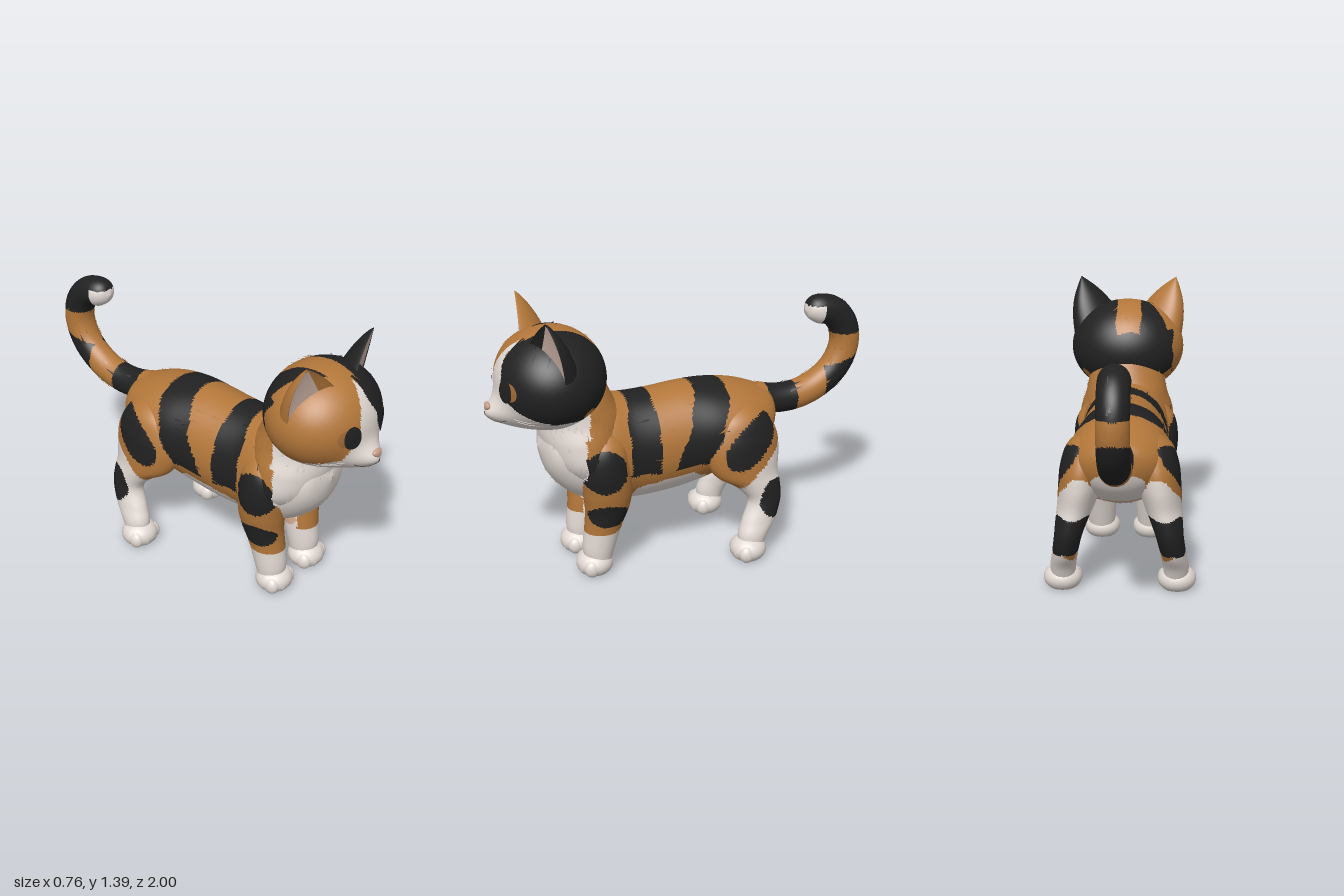
import * as THREE from 'three';

const mat = (name, color) => Object.assign(new THREE.MeshStandardMaterial({ color }), { name });
const orange = mat('orange fur', 0xb3773a), black = mat('black fur', 0x212121), white = mat('white fur', 0xe2d9d3);
const pink = mat('ear pink', 0xd0b5a8), pale = mat('pale patch', 0xd6ab90), nosePink = mat('nose pink', 0xc99f8b);
const amber = mat('amber iris', 0xa26a36), line = mat('mouth line', 0x64514a), sole = mat('paw sole', 0x9b8e86);
const palette = [orange, black, white, pink, pale];
const ORANGE = 0, BLACK = 1, WHITE = 2, PINK = 3, PALE = 4;
const V = (x, y, z) => new THREE.Vector3(x, y, z);
const TAU = Math.PI * 2;
const named = (name, o) => Object.assign(o, { name });

// Mesh with one geometry group per palette colour; groups[m] lists the corner triples of colour m
function painted(name, pos, groups) {
  const geo = new THREE.BufferGeometry(), index = [];
  groups.forEach((tris, m) => {
    if (tris.length) geo.addGroup(index.length, tris.length * 3, m);
    tris.forEach(t => index.push(...t));
  });
  geo.setAttribute('position', new THREE.Float32BufferAttribute(pos, 3));
  geo.setIndex(index);
  geo.computeVertexNormals();
  return named(name, new THREE.Mesh(geo, palette));
}

// Surface closed around u, open along v; paint(point, u, v) picks a palette entry for each triangle
function skin(name, f, nu, nv, paint) {
  const groups = palette.map(() => []), pts = [];
  for (let j = 0; j <= nv; j++) for (let i = 0; i < nu; i++) pts.push(f(i / nu, j / nv));
  const mid = new THREE.Box3().setFromPoints(pts).getCenter(V(0, 0, 0));
  let volume = 0;
  const add = (a, b, c, u, v) => {
    const [A, B, C] = [a, b, c].map(k => pts[k].clone().sub(mid));
    volume += A.dot(B.clone().cross(C));
    groups[paint(A.add(B).add(C).divideScalar(3).add(mid), u, v)].push([a, b, c]);
  };
  for (let j = 0; j < nv; j++) for (let i = 0; i < nu; i++) {
    const a = j * nu + i, b = j * nu + (i + 1) % nu, u = (i + 0.5) / nu, v = (j + 0.5) / nv;
    add(a, b, a + nu, u, v);
    add(b, b + nu, a + nu, u, v);
  }
  if (volume < 0) groups.forEach(tris => tris.forEach(t => t.reverse()));
  return painted(name, pts.flatMap(p => [p.x, p.y, p.z]), groups);
}

// Small raised fur tufts scattered over a surface, in the colour beneath them
let seed = 7;
const rnd = () => (seed = (seed * 16807) % 2147483647) / 2147483647;
function tufts(name, f, count, length, v0, v1, paint) {
  const pos = [], groups = palette.map(() => []);
  for (let k = 0; k < count; k++) {
    const u = rnd(), v = v0 + (v1 - v0) * rnd(), p = f(u, v);
    const du = f(u + 0.005, v).sub(p).normalize(), dv = f(u, v + 0.005).sub(p).normalize();
    const n = du.clone().cross(dv).normalize(), w = du.clone().multiplyScalar(0.006);
    const end = f(u + (rnd() - 0.5) * 0.02, Math.min(1, v + length * (0.5 + rnd()))).addScaledVector(n, 0.008);
    p.addScaledVector(n, 0.003);
    [p.clone().sub(w), p.clone().add(w), end].forEach(q => pos.push(q.x, q.y, q.z));
    groups[paint(p, u, v)].push([3 * k, 3 * k + 1, 3 * k + 2]);
  }
  return painted(name, pos, groups);
}

// Elliptical sections [x, y, z, half width, other half size], smoothly interpolated
function loft(rows, upright) {
  const at = k => rows[Math.min(Math.max(k, 0), rows.length - 1)];
  return (u, v) => {
    const s = v * (rows.length - 1), k = Math.min(Math.floor(s), rows.length - 2), t = s - k;
    const [x, y, z, a, b] = rows[0].map((_, n) => {
      const [p, q, r, w] = [at(k - 1)[n], at(k)[n], at(k + 1)[n], at(k + 2)[n]];
      return q + 0.5 * t * (r - p + t * (2 * p - 5 * q + 4 * r - w + t * (3 * (q - r) + w - p)));
    });
    const c = Math.cos(u * TAU) * a, d = Math.sin(u * TAU) * b;
    return upright ? V(x + c, y, z - d) : V(x + c, y + d, z);
  };
}
function table(points, s) {
  for (let k = 1; k < points.length; k++) {
    const [a, p] = points[k - 1], [b, q] = points[k];
    if (s <= b) return p + (q - p) * Math.max(0, (s - a) / (b - a));
  }
  return points[points.length - 1][1];
}
const inEllipse = (z, y, cz, cy, rz, ry) => ((z - cz) / rz) ** 2 + ((y - cy) / ry) ** 2 < 1;

// Calico patches of body and legs
const bellyLine = [[-0.5, 0.66], [-0.42, 0.56], [-0.32, 0.49], [-0.22, 0.38], [-0.1, 0.43], [0, 0.49], [0.15, 0.47], [0.3, 0.45], [0.35, 0.25], [0.6, 0.22]];
const bibWidth = [[0.24, 0.03], [0.32, 0.07], [0.4, 0.1], [0.48, 0.165], [0.58, 0.225], [0.95, 0.24]];
function coat(p) {
  const a = Math.abs(p.x), wob = 0.005 * Math.sin(p.y * 45 + p.z * 23);
  const y = p.y + wob, z = p.z + wob;
  if (a > 0.14 && inEllipse(z, y, -0.41, 0.315, 0.095, 0.1)) return BLACK;
  if (a < 0.265 && inEllipse(z, y, -0.37, 0.22, 0.06, 0.045)) return z < -0.38 ? ORANGE : PALE;
  if (a < 0.18 && inEllipse(z, y, -0.25, 0.45, 0.05, 0.04)) return PALE;
  if (a < 0.12 && inEllipse(z, y, 0.45, 0.28, 0.045, 0.035)) return PALE;
  if (y < table(bellyLine, z)) return WHITE;
  if (a < 0.11 && y < 0.47 && z < 0.5) return WHITE;
  if (z < -0.05 && a < 0.13 && y < 0.58) return WHITE;
  if (z > 0.42 && a < table(bibWidth, y) && (z > 0.54 || y < 0.5)) return WHITE;
  if (z > 0.57 && y > 0.55) return WHITE;
  if (a > 0.18 && inEllipse(z, y, p.x > 0 ? 0.485 : 0.465, 0.59, 0.115, 0.11)) return BLACK;
  if (a > 0.125 && inEllipse(z, y, 0.455, 0.335, 0.1, 0.065)) return BLACK;
  if (y > 0.52 && z > 0.18 && z < 0.335 - Math.max(0, y - 0.8) * 0.3) return BLACK;
  if (y > 0.53 && Math.abs(z + 0.01 + 0.42 * (y - 0.6)) < 0.09) return BLACK;
  const dz = z + 0.28, dy = y - 0.625;
  if (a > 0.1 && inEllipse(0.7 * (dy - dz), 0.7 * (dy + dz), 0, 0, 0.165, 0.095)) return BLACK;
  return ORANGE;
}

// Head: ellipsoid with a muzzle bump that fades slowly into the chin
const HY = 1.03, HZ = 0.67;
const muzzle = (x, y) => 0.11 * Math.exp(-((x / 0.1) ** 2) - ((y - 0.875) / (y > 0.875 ? 0.075 : 0.11)) ** 2);
const faceZ = (x, y) => HZ + 0.27 * Math.sqrt(Math.max(0, 1 - (x / 0.3) ** 2 - ((y - HY) / 0.25) ** 2)) + muzzle(x, y);
function headPoint(u, v) {
  const s = Math.sin(v * Math.PI), x = 0.3 * s * Math.cos(u * TAU), y = HY + 0.25 * Math.cos(v * Math.PI);
  const d = 0.27 * s * Math.sin(u * TAU);
  return V(x, y, HZ + d + (d > 0 ? muzzle(x, y) * Math.min(1, d / 0.08) : 0));
}
const blazeRight = [[0.87, 0.23], [0.93, 0.16], [1.0, 0.09], [1.08, 0.06], [1.15, 0.035], [1.24, 0.015]];
const blazeLeft = [[0.87, 0.25], [0.9, 0.14], [1.0, 0.1], [1.08, 0.065], [1.15, 0.04], [1.24, -0.01]];
function headCoat(p) {
  const wob = 0.004 * Math.sin(p.y * 60 + p.x * 35), x = p.x + wob, y = p.y + wob, z = p.z + wob;
  if (z > 0.52 && y < 0.87) return WHITE;
  if (z > 0.74 && y < 1.24 && x < table(blazeRight, y) && x > -table(blazeLeft, y)) return WHITE;
  if (z > 0.51 && z < 0.57 && y < 0.94 - Math.abs(z - 0.54)) return ORANGE;
  if (z < 0.57 && y < 1.14) return x < -0.245 ? ORANGE : BLACK;
  if (x > (z > 0.8 ? 0.02 : 0.055)) return BLACK;
  return z < 0.43 || (x < -0.075 && z < 0.85 + 1.5 * x) ? BLACK : ORANGE;
}

// Thin oval lying on the face
function faceOval(name, cx, cy, rx, ry, lift, material) {
  const geo = new THREE.RingGeometry(0.001, 1, 40, 6), p = geo.attributes.position;
  for (let i = 0; i < p.count; i++) {
    const x = cx + p.getX(i) * rx, y = cy + p.getY(i) * ry;
    p.setXYZ(i, x, y, faceZ(x, y) + lift);
  }
  geo.computeVertexNormals();
  return named(name, new THREE.Mesh(geo, material));
}
const tube = (name, pts, r, material) =>
  named(name, new THREE.Mesh(new THREE.TubeGeometry(new THREE.CatmullRomCurve3(pts), 16, r, 5), material));

// Shallow pointed ear, turned outwards, with a pink front
function ear(side) {
  const inner = V(0.08, 1.23, 0.79), outer = V(0.288, 1.08, 0.68), tip = V(0.257, 1.392, 0.757), back = V(0.02, 0.02, -1);
  const f = (u, v) => {
    const a = inner.clone().lerp(tip, v), b = outer.clone().lerp(tip, v), bulge = Math.sin(v * Math.PI);
    a.add(V(-0.006, 0.01, 0).multiplyScalar(bulge));
    b.add(V(0.026, 0.01, -0.01).multiplyScalar(bulge));
    const front = u > 0.5, w = front ? 2 - 2 * u : 2 * u;
    const p = a.clone().lerp(b, 0.5 - 0.5 * Math.cos(w * Math.PI));
    p.addScaledVector(back, Math.sin(w * Math.PI) * (front ? 0.015 : 0.125) * (1 - v) ** 0.8);
    p.x *= side;
    return p;
  };
  const fur = side > 0 ? BLACK : ORANGE;
  return skin(side > 0 ? 'leftEar' : 'rightEar', f, 48, 24, (p, u, v) => u > 0.56 && u < 0.84 && v < 0.9 ? PINK : fur);
}

// Paw flattened on the ground, with toes and a sole
function paw(name, x, z) {
  const g = named(name, new THREE.Group());
  const blob = (part, px, py, pz, rx, ry, rz) => {
    const geo = new THREE.SphereGeometry(1, 24, 16).scale(rx, ry, rz).translate(px, py, pz), p = geo.attributes.position;
    for (let i = 0; i < p.count; i++) p.setY(i, Math.max(0.001, p.getY(i)));
    geo.computeVertexNormals();
    g.add(named(part, new THREE.Mesh(geo, white)));
  };
  blob('pad', x, 0.05, z, 0.096, 0.07, 0.093);
  [-0.062, -0.022, 0.022, 0.062].forEach(d => blob('toe', x + d, 0.045, z + 0.057 - Math.abs(d) * 0.4, 0.034, 0.046, 0.041));
  const disc = new THREE.CircleGeometry(0.068, 28).rotateX(Math.PI / 2).translate(x, 0, z);
  g.add(named('sole', new THREE.Mesh(disc, sole)));
  return g;
}

export function createModel() {
  const cat = named('cat', new THREE.Group());
  // Torso from rump to chest: [z, top, bottom, half width]
  const torso = loft([[-0.5, 0.735, 0.725, 0.005], [-0.48, 0.79, 0.62, 0.12], [-0.42, 0.825, 0.53, 0.195], [-0.3, 0.865, 0.46, 0.25],
    [-0.15, 0.89, 0.4, 0.258], [0, 0.895, 0.355, 0.242], [0.15, 0.885, 0.335, 0.235], [0.3, 0.885, 0.33, 0.225], [0.42, 0.9, 0.34, 0.235],
    [0.54, 0.88, 0.375, 0.22], [0.64, 0.85, 0.445, 0.185], [0.71, 0.79, 0.54, 0.13], [0.745, 0.69, 0.67, 0.005]]
    .map(([z, top, bot, w]) => [0, (top + bot) / 2, z, w, (top - bot) / 2]), false);
  const neck = loft([[0, 0.48, 0.5, 0.17, 0.1], [0, 0.6, 0.52, 0.25, 0.175], [0, 0.72, 0.535, 0.245, 0.2], [0, 0.82, 0.535, 0.215, 0.21],
    [0, 0.9, 0.56, 0.2, 0.195], [0, 1.0, 0.6, 0.18, 0.19]], true);
  cat.add(skin('torso', torso, 110, 130, coat), skin('neck', neck, 100, 50, coat));
  cat.add(tufts('torsoFur', torso, 130, 0.04, 0.15, 0.95, coat), tufts('chestFur', neck, 120, 0.1, 0.15, 0.75, coat));

  // Legs and paws
  for (const s of [-1, 1]) {
    const sideName = s > 0 ? 'Left' : 'Right';
    const mirror = rows => loft(rows.map(([y, x, z, a, b]) => [x * s, y, z, a, b]), true);
    const front = mirror([[0.02, 0.135, 0.49, 0.06, 0.05], [0.12, 0.135, 0.49, 0.076, 0.08], [0.25, 0.138, 0.465, 0.085, 0.095],
      [0.35, 0.148, 0.445, 0.093, 0.112], [0.45, 0.16, 0.445, 0.104, 0.125], [0.58, 0.17, 0.46, 0.108, 0.125],
      [0.7, 0.155, 0.46, 0.1, 0.11], [0.8, 0.13, 0.45, 0.04, 0.04]]);
    const hind = mirror([[0.02, 0.28, -0.28, 0.055, 0.05], [0.12, 0.28, -0.292, 0.064, 0.078], [0.2, 0.268, -0.33, 0.064, 0.09],
      [0.3, 0.25, -0.365, 0.068, 0.088], [0.38, 0.232, -0.335, 0.08, 0.12], [0.45, 0.213, -0.28, 0.094, 0.17],
      [0.55, 0.195, -0.26, 0.107, 0.2], [0.65, 0.18, -0.26, 0.11, 0.19], [0.75, 0.15, -0.26, 0.1, 0.14], [0.83, 0.11, -0.26, 0.03, 0.04]]);
    cat.add(skin('front' + sideName + 'Leg', front, 56, 72, coat), skin('hind' + sideName + 'Leg', hind, 60, 80, coat));
    cat.add(paw('front' + sideName + 'Paw', 0.133 * s, 0.512), paw('hind' + sideName + 'Paw', 0.285 * s, -0.265));
  }

  // Banded, curled tail
  const path = new THREE.CatmullRomCurve3([[0.76, -0.4], [0.73, -0.52], [0.73, -0.64], [0.77, -0.76], [0.86, -0.87], [0.98, -0.92],
    [1.09, -0.905], [1.165, -0.84], [1.185, -0.76], [1.185, -0.69]].map(([y, z]) => V(0, y, z)));
  const tail = (u, v) => {
    const t = path.getTangentAt(v), n = t.clone().cross(V(1, 0, 0));
    const r = 0.077 * (v > 0.91 ? Math.sqrt(Math.max(0, 1 - ((v - 0.91) / 0.09) ** 2)) : 1);
    return path.getPointAt(v).addScaledVector(V(1, 0, 0), r * Math.cos(u * TAU)).addScaledVector(n, r * Math.sin(u * TAU));
  };
  const tailCoat = (p, u, v) => {
    if (v > 0.92 && p.y < 1.215) return WHITE;
    if (p.y > 1.05 || (p.z > -0.63 && p.z < -0.47 && p.y < 0.95)) return BLACK;
    return p.z < -0.79 && p.y + 0.3 * (p.z + 0.9) < 0.91 ? BLACK : ORANGE;
  };
  cat.add(skin('tail', tail, 44, 110, tailCoat), tufts('tailFur', tail, 70, 0.05, 0.1, 0.85, tailCoat));

  // Head and ears
  const head = named('head', new THREE.Group());
  head.add(skin('skull', headPoint, 140, 100, headCoat), ear(1), ear(-1), tufts('headFur', headPoint, 40, 0.06, 0.1, 0.3, headCoat));

  // Eyes, mouth and whiskers
  const onFace = (x, y) => V(x, y, faceZ(x, y) + 0.001);
  for (const s of [-1, 1]) {
    head.add(faceOval('iris', 0.137 * s, 1.032, 0.046, 0.046, 0.004, amber));
    head.add(faceOval('pupil', 0.114 * s, 1.03, 0.044, 0.058, 0.007, black));
    head.add(tube('mouth', [onFace(0, 0.87), onFace(0.025 * s, 0.855), onFace(0.055 * s, 0.856), onFace(0.085 * s, 0.87)], 0.003, line));
    for (const y of [0.868, 0.885])
      head.add(tube('whisker', [onFace(0.12 * s, y), onFace(0.16 * s, y - 0.01), onFace(0.2 * s, y - 0.002)], 0.002, white));
  }

  // Nose, narrowing downwards
  const nose = new THREE.SphereGeometry(1, 24, 16), np = nose.attributes.position;
  for (let i = 0; i < np.count; i++) np.setX(i, np.getX(i) * (0.65 + 0.4 * np.getY(i)));
  nose.scale(0.042, 0.024, 0.016).translate(0, 0.918, 0.984).computeVertexNormals();
  head.add(named('nose', new THREE.Mesh(nose, nosePink)));
  head.add(tube('noseLine', [onFace(0, 0.9), onFace(0, 0.885), onFace(0, 0.87)], 0.0025, line));
  cat.add(head);
  return cat;
}
